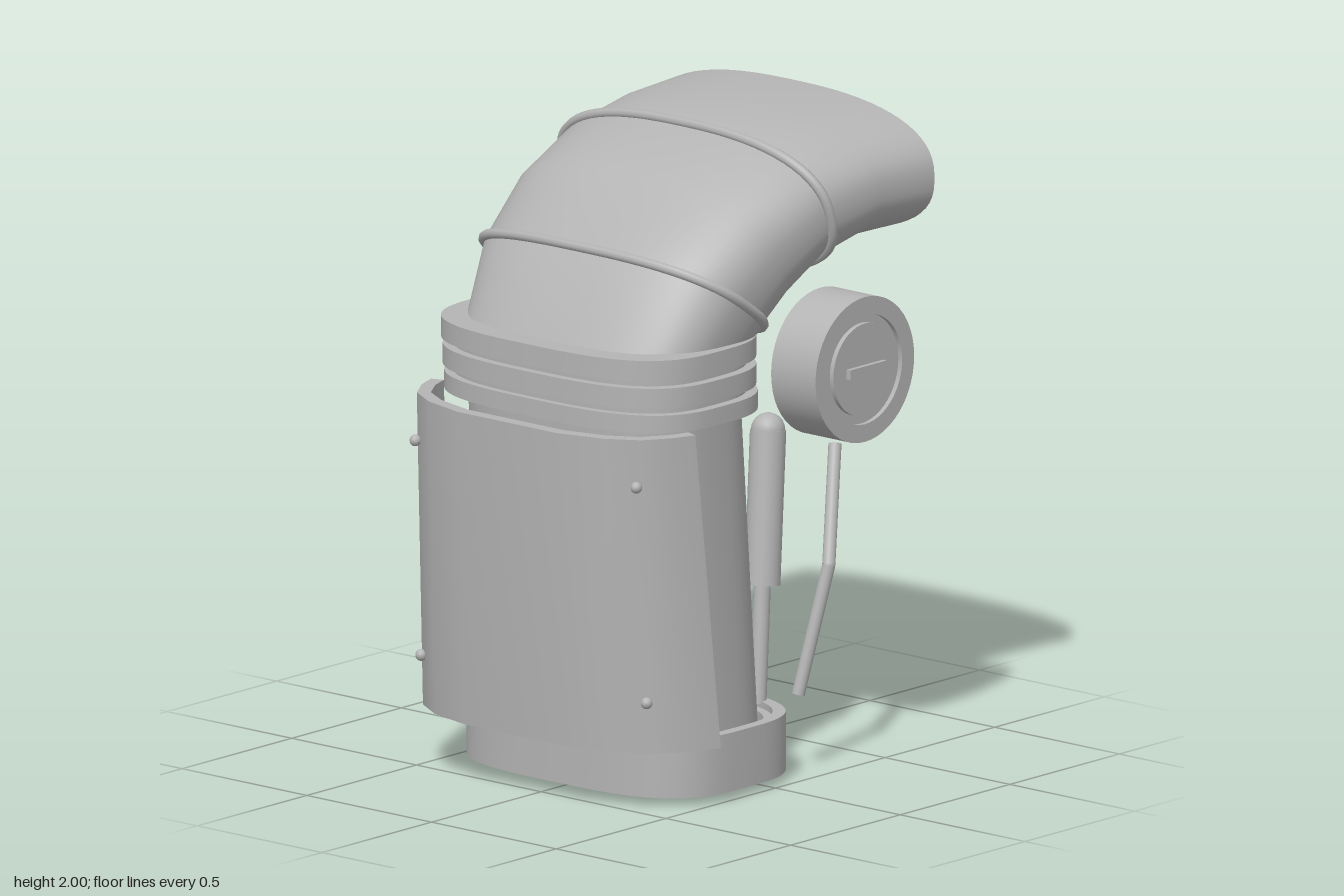
import * as THREE from 'three';
import { toCreasedNormals } from 'three/addons/utils/BufferGeometryUtils.js';

const grey = new THREE.MeshStandardMaterial({ color: 0xb4b4b4 });
const V = (x, y, z) => new THREE.Vector3(x, y, z);

function add(parent, geometry, name) {
  const mesh = new THREE.Mesh(geometry, grey);
  mesh.name = name;
  parent.add(mesh);
  return mesh;
}

// Skin a list of point rings; either joined end to start, or capped
function loft(rings, wrap, crease = 0.7) {
  const n = rings[0].length, pos = [], index = [];
  rings.forEach(r => r.forEach(p => pos.push(p.x, p.y, p.z)));
  const count = wrap ? rings.length : rings.length - 1;
  for (let i = 0; i < count; i++) {
    const k = (i + 1) % rings.length;
    for (let j = 0; j < n; j++) {
      const l = (j + 1) % n;
      const a = i * n + j, b = i * n + l, c = k * n + j, d = k * n + l;
      index.push(a, b, d, a, d, c);
    }
  }
  if (!wrap) {
    const e = (rings.length - 1) * n;
    for (let j = 1; j < n - 1; j++) index.push(0, j + 1, j, e, e + j, e + j + 1);
  }
  const g = new THREE.BufferGeometry();
  g.setAttribute('position', new THREE.Float32BufferAttribute(pos, 3));
  g.setIndex(index);
  return toCreasedNormals(g.toNonIndexed(), crease);
}

// Rounded oval section spanning the outer and inner bend points, halfZ wide
function oval([ox, oy, ix, iy, halfZ, power = 2.8], grow = 0, segments = 64) {
  const c = V((ox + ix) / 2, (oy + iy) / 2, 0.004);
  const u = V((ox - ix) / 2, (oy - iy) / 2, 0);
  const half = u.length() + grow;
  u.normalize();
  const round = t => Math.sign(t) * Math.abs(t) ** (2 / power);
  return Array.from({ length: segments }, (_, j) => {
    const a = (j / segments) * Math.PI * 2;
    const p = c.clone().addScaledVector(u, half * round(Math.cos(a)));
    p.z += (halfZ + grow) * round(Math.sin(a));
    return p;
  });
}

// Hollow pipe with a wall of constant thickness
function pipe(stations, wall) {
  const outside = stations.map(s => oval(s));
  const inside = stations.map(s => oval(s, -wall)).reverse();
  return loft([...outside, ...inside], true);
}

function rod(parent, a, b, radius, name) {
  const d = b.clone().sub(a);
  const mesh = add(parent, new THREE.CylinderGeometry(radius, radius, d.length(), 20), name);
  mesh.position.copy(a).add(b).multiplyScalar(0.5);
  mesh.quaternion.setFromUnitVectors(V(0, 1, 0), d.normalize());
  return mesh;
}

function box(parent, x0, x1, y0, y1, z0, z1, name) {
  const mesh = add(parent, new THREE.BoxGeometry(x1 - x0, y1 - y0, z1 - z0), name);
  mesh.position.set((x0 + x1) / 2, (y0 + y1) / 2, (z0 + z1) / 2);
}

export function createModel() {
  const model = new THREE.Group();
  model.name = 'ductAssembly';

  // Leaning lower duct
  add(model, pipe([
    [-0.415, 0.04, 0.165, 0.04, 0.42, 3],
    [-0.485, 1.2, 0.05, 1.2, 0.44, 3],
    [-0.49, 1.4, 0.06, 1.36, 0.455, 2.9],
  ], 0.03), 'lowerDuct');

  // Elbow widening to the mouth
  const elbow = [
    [-0.485, 1.39, 0.065, 1.34, 0.455, 2.9],
    [-0.335, 1.665, 0.078, 1.375, 0.495, 2.7],
    [-0.12, 1.85, 0.14, 1.435, 0.515, 2.6],
    [0.14, 1.96, 0.275, 1.525, 0.53, 2.5],
    [0.40, 1.993, 0.44, 1.575, 0.548, 2.5],
    [0.645, 2.0, 0.645, 1.575, 0.567, 2.5],
  ];
  add(model, pipe(elbow, 0.03), 'elbowDuct');

  // Round seam beads on the elbow
  for (const i of [1, 3]) {
    const path = new THREE.CatmullRomCurve3(oval(elbow[i], 0.004), true);
    add(model, new THREE.TubeGeometry(path, 128, 0.016, 8, true), 'seamBead');
  }

  // Stacked collar bands and the neck behind them
  for (const [y0, y1, x0, x1] of [
    [1.18, 1.235, -0.553, 0.09], [1.257, 1.32, -0.56, 0.083], [1.343, 1.408, -0.57, 0.085],
  ]) {
    add(model, pipe([[x0, y0, x1, y0, 0.495, 3], [x0, y1, x1, y1, 0.495, 3]], 0.075), 'collarBand');
  }
  add(model, pipe([[-0.53, 1.19, 0.06, 1.19, 0.465, 3], [-0.535, 1.39, 0.06, 1.39, 0.465, 3]], 0.05), 'collarNeck');

  // Base rim with a recessed floor
  const base = y => [-0.455, y, 0.222, y, 0.487, 3.2];
  add(model, pipe([base(0.028), base(0.21)], 0.035), 'baseRim');
  const floor = y => [-0.43, y, 0.197, y, 0.462, 3.2];
  add(model, pipe([floor(0.06), floor(0.19)], 0.035), 'baseFloor');

  // Leaning inner cylinder
  const lean = Math.atan2(0.234, 1.475);
  const foot = V(0.1 - 0.205 * Math.cos(lean), 0.004 + 0.205 * Math.sin(lean), 0.004);
  const head = foot.clone().add(V(Math.sin(lean), Math.cos(lean), 0).multiplyScalar(1.49));
  const core = rod(model, foot, head, 0.205, 'innerCylinder');
  core.geometry = new THREE.CylinderGeometry(0.205, 0.205, 1.49, 48);

  // Wrapped shield: half profiles (x, z) at the top and bottom, then mirrored
  const top = [[-0.655, 0.2], [-0.615, 0.35], [-0.555, 0.45], [-0.47, 0.505], [-0.40, 0.53]];
  const bottom = [[-0.612, 0.21], [-0.575, 0.36], [-0.51, 0.465], [-0.41, 0.535], [-0.325, 0.567]];
  const bend = [10, 25, 45, 62, 70].map(THREE.MathUtils.degToRad);
  const slice = (i, side) => {
    const dx = 0.042 * Math.cos(bend[i]), dz = 0.042 * Math.sin(bend[i]);
    const point = ([x, z], y, k) => V(x + k * dx, y, side * (z - k * dz));
    return [point(bottom[i], 0.2, 1), point(top[i], 1.18, 1), point(top[i], 1.18, 0), point(bottom[i], 0.2, 0)];
  };
  add(model, loft([
    ...[4, 3, 2, 1, 0].map(i => slice(i, -1)),
    ...[0, 1, 2, 3, 4].map(i => slice(i, 1)),
  ], false, 0.5), 'heatShield');

  // Shield rivets
  for (const side of [-1, 1]) {
    for (const [x, y, z] of [[-0.57, 1.035, 0.443], [-0.533, 0.36, 0.452]]) {
      add(model, new THREE.SphereGeometry(0.018, 12, 8), 'rivet').position.set(x, y, side * z);
    }
  }

  // Round canisters with a grooved face and a raised bar
  for (const [y, z, turn] of [[1.245, 0.37, 0], [1.168, -0.376, Math.PI]]) {
    const canister = new THREE.Group();
    canister.name = 'canister';
    const profile = [[0, 0], [0.225, 0], [0.225, 0.178], [0.17, 0.178], [0.17, 0.163],
      [0.143, 0.163], [0.143, 0.178], [0, 0.178]].map(p => new THREE.Vector2(...p));
    const shell = new THREE.LatheGeometry(profile, 48).toNonIndexed().rotateX(Math.PI / 2);
    add(canister, toCreasedNormals(shell, 0.6), 'canisterShell');
    box(canister, -0.083, 0.083, -0.015, 0.015, 0.17, 0.193, 'canisterBar');
    canister.position.set(0.353, y, z);
    canister.rotation.y = turn;
    model.add(canister);
  }

  // Piston with a domed head
  const pistonTop = V(0.277, 1.02, 0.227), pistonMid = V(0.215, 0.555, 0.258);
  rod(model, pistonMid, pistonTop, 0.055, 'pistonSleeve');
  rod(model, V(0.17, 0.2, 0.28), pistonMid, 0.026, 'pistonRod');
  add(model, new THREE.SphereGeometry(0.052, 20, 12), 'pistonDome').position.copy(pistonTop);

  // Bent struts
  for (const [a, b, c] of [
    [V(0.425, 0.97, 0.365), V(0.275, 0.64, 0.472), V(0.18, 0.25, 0.433)],
    [V(0.40, 0.92, -0.245), V(0.26, 0.53, -0.35), V(0.17, 0.2, -0.3)],
  ]) {
    rod(model, a, b, 0.02, 'strutUpper');
    rod(model, b, c, 0.02, 'strutLower');
    add(model, new THREE.SphereGeometry(0.02, 12, 8), 'strutBend').position.copy(b);
  }

  // Control boxes
  box(model, 0.18, 0.35, 0.45, 0.833, -0.265, 0.01, 'upperBox');
  box(model, 0.19, 0.333, 0.26, 0.42, -0.238, -0.02, 'lowerBox');

  return model;
}
